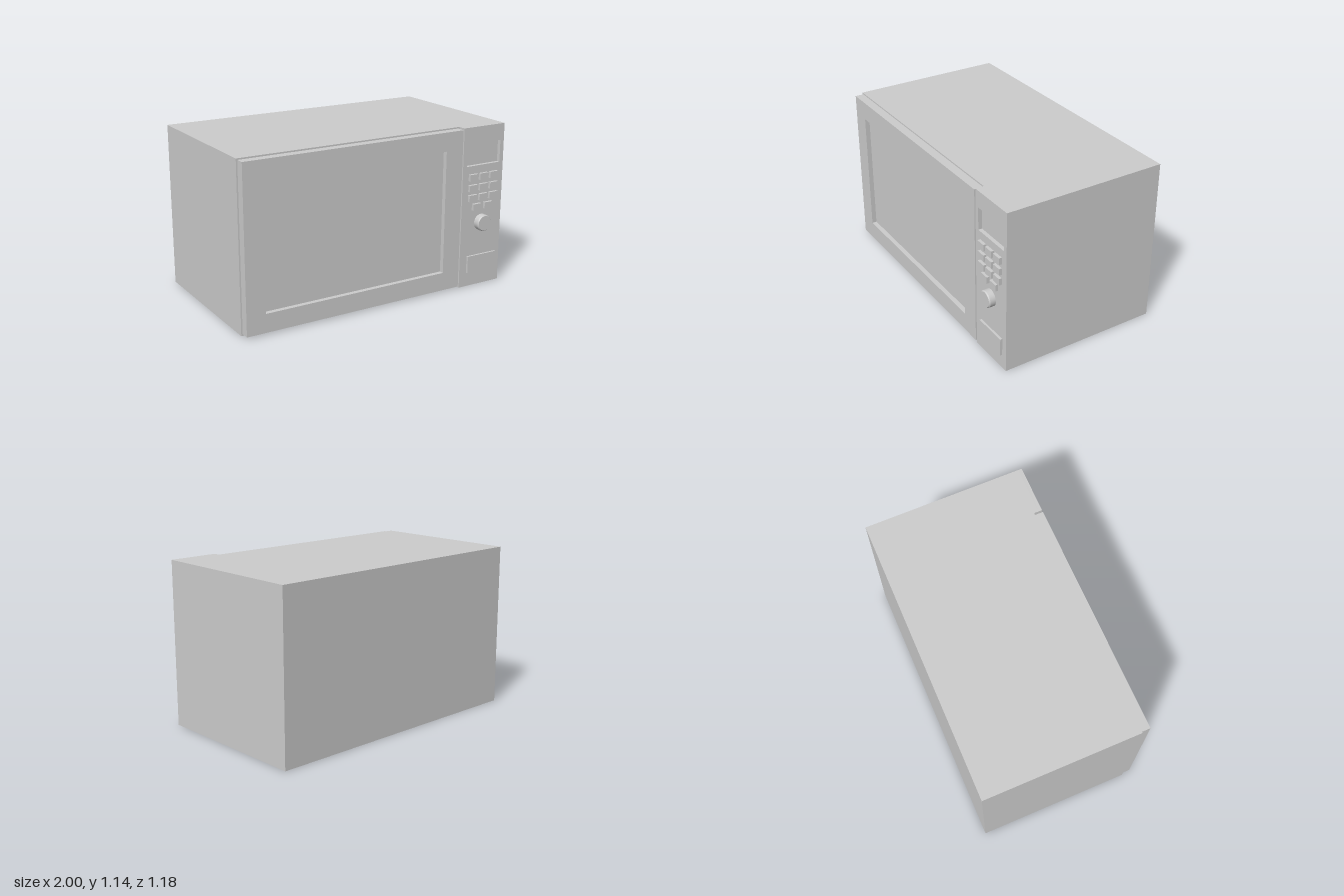
import * as THREE from 'three';

const material = new THREE.MeshStandardMaterial({ color: 0xcccccc });

function rectPoints(x0, x1, y0, y1) {
  return [[x0, y0], [x1, y0], [x1, y1], [x0, y1]].map(([x, y]) => new THREE.Vector2(x, y));
}

export function createModel() {
  const group = new THREE.Group();
  group.name = 'microwaveOven';

  const add = (name, geometry) => {
    const mesh = new THREE.Mesh(geometry, material);
    mesh.name = name;
    group.add(mesh);
    return mesh;
  };

  // Box given by its limits
  const box = (name, x0, x1, y0, y1, z0, z1) =>
    add(name, new THREE.BoxGeometry(x1 - x0, y1 - y0, z1 - z0))
      .position.set((x0 + x1) / 2, (y0 + y1) / 2, (z0 + z1) / 2);

  // Flat plate with a rectangular opening
  const frame = (name, outer, inner, z0, z1) => {
    const shape = new THREE.Shape(rectPoints(...outer));
    shape.holes.push(new THREE.Path(rectPoints(...inner)));
    const geometry = new THREE.ExtrudeGeometry(shape, { depth: z1 - z0, bevelEnabled: false });
    add(name, geometry.translate(0, 0, z0));
  };

  const H = 1.14;

  // Cabinet: L-shaped plan, stepped back behind the door
  const plan = new THREE.Shape(
    [[-1, 0.59], [-1, -0.485], [0.655, -0.485], [0.655, -0.517], [1, -0.517], [1, 0.59]]
      .map(([x, y]) => new THREE.Vector2(x, y)));
  add('cabinet', new THREE.ExtrudeGeometry(plan, { depth: H, bevelEnabled: false }).rotateX(-Math.PI / 2));

  // Door: window pane slab with a raised frame
  box('doorWindow', -0.99, 0.645, 0.012, 1.13, 0.485, 0.512);
  frame('doorFrame', [-0.99, 0.645, 0.012, 1.13], [-0.855, 0.51, 0.14, 1.0], 0.512, 0.545);

  // Control panel with the sunken display
  frame('controlPanel', [0.655, 1, 0, H], [0.685, 0.97, 0.87, 1.025], 0.517, 0.543);

  // Keypad: three rows of three, then a row of two
  const rows = [
    { y: 0.791, xs: [0.74, 0.827, 0.915] },
    { y: 0.716, xs: [0.74, 0.827, 0.915] },
    { y: 0.645, xs: [0.74, 0.827, 0.915] },
    { y: 0.578, xs: [0.777, 0.875] },
  ];
  for (const { y, xs } of rows) {
    for (const x of xs) box('keypadButton', x - 0.034, x + 0.034, y - 0.023, y + 0.023, 0.53, 0.563);
  }

  // Dial with a small chamfer
  const profile = [[0.058, 0], [0.058, 0.039], [0.058, 0.039], [0.052, 0.046], [0.052, 0.046], [0, 0.046]]
    .map(([r, h]) => new THREE.Vector2(r, h));
  const dial = add('dial', new THREE.LatheGeometry(profile, 40).rotateX(Math.PI / 2));
  dial.position.set(0.826, 0.459, 0.543);

  // Door release button
  box('doorButton', 0.715, 0.958, 0.1, 0.223, 0.53, 0.558);

  return group;
}
